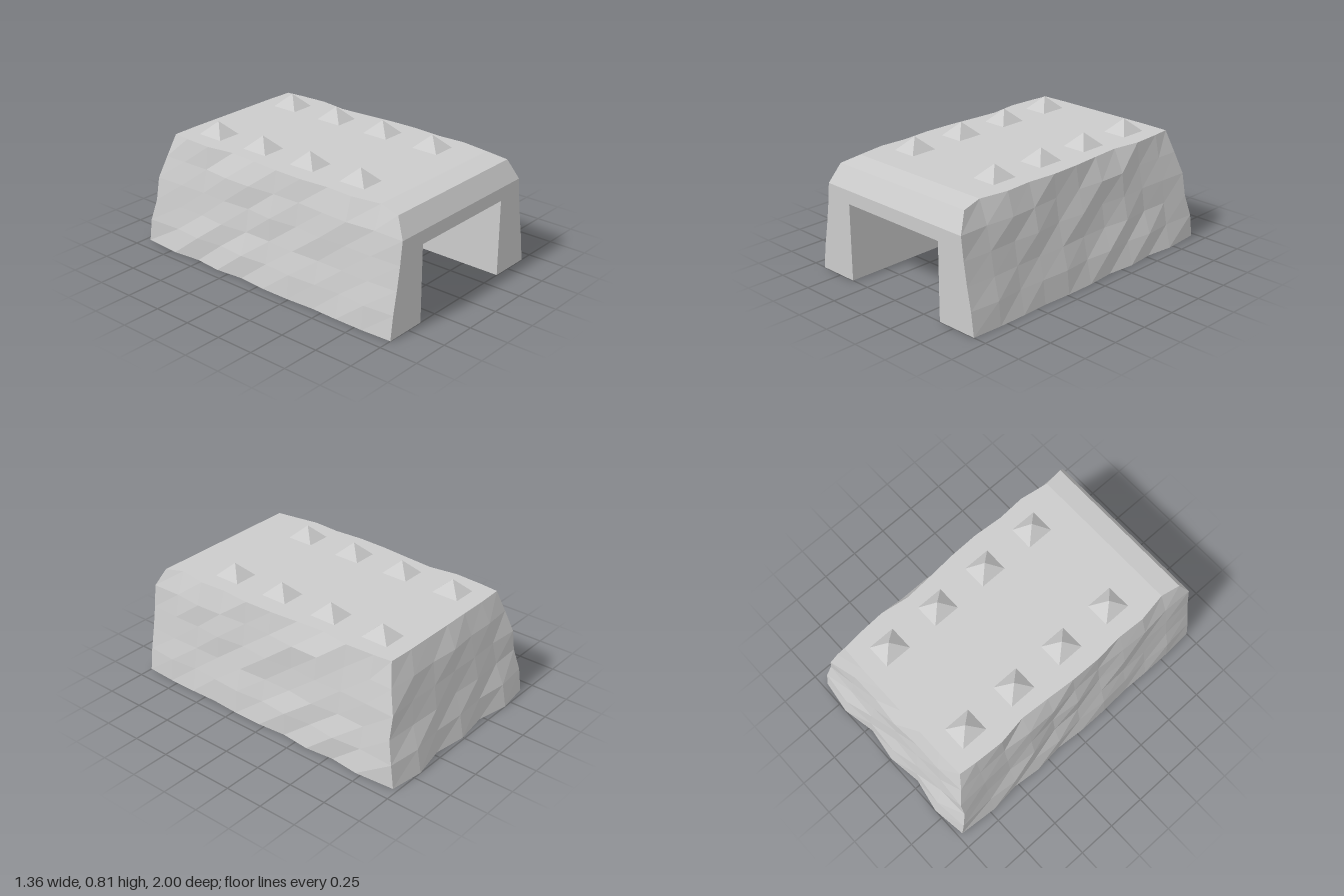
import * as THREE from 'three';

const material = new THREE.MeshStandardMaterial({ color: 0xcccccc, flatShading: true });

// Row heights and grid lines of the rough earth banks
const rowY = [0.005, 0.155, 0.295, 0.44, 0.585, 0.728];
const colZ = [1, 0.8, 0.61, 0.43, 0.235, 0.04, -0.15, -0.34, -0.525, -0.715];
const last = colZ.length;
const sideX = [0.665, 0.65, 0.62, 0.597, 0.572, 0.53];
const frontX = [0.66, 0.64, 0.612, 0.588, 0.57, 0.53];
const footX = [0.66, 0.67, 0.67, 0.665, 0.675, 0.675, 0.66, 0.678, 0.66, 0.68, 0.66];
const eaveX = [0.53, 0.51, 0.54, 0.53, 0.545, 0.54, 0.525, 0.512, 0.54, 0.53, 0.518];
const cornerZ = [-0.97, -0.95, -0.915, -0.915, -0.87, -0.832];
const backZ = [-0.98, -0.965, -0.935, -0.91, -0.885, -0.838];
const backFoot = [-0.97, -1.0, -0.957, -0.988];

// Passage dimensions
const doorX = 0.385, doorY = 0.5, doorZ = 0.21;

// Repeatable bump between -1 and 1
function bump(i, j) {
  const s = Math.sin(i * 12.9898 + j * 78.233) * 43758.5453;
  return (s - Math.floor(s)) * 2 - 1;
}

// Faceted sheet from rows of points; columns run right and rows run up as seen from its front
function sheet(name, rows) {
  const pos = [];
  for (let i = 0; i < rows.length - 1; i++) {
    for (let j = 0; j < rows[i].length - 1; j++) {
      const a = rows[i][j], b = rows[i][j + 1], c = rows[i + 1][j + 1], d = rows[i + 1][j];
      pos.push(...a, ...b, ...c, ...a, ...c, ...d);
    }
  }
  const geo = new THREE.BufferGeometry();
  geo.setAttribute('position', new THREE.Float32BufferAttribute(pos, 3));
  geo.computeVertexNormals();
  return named(name, geo);
}

function named(name, geo) {
  const mesh = new THREE.Mesh(geo, material);
  mesh.name = name;
  return mesh;
}

const mirror = ([x, y, z]) => [-x, y, z];

// Point on the left bank: row i up, column j from front to back
function bankPoint(i, j) {
  const top = i === 5;
  let x = sideX[i] + 0.013 * bump(i, j);
  if (j === 0) x = frontX[i];
  else if (i === 0) x = footX[j];
  else if (top) x = eaveX[j];
  let y = rowY[i];
  let z = j === last ? cornerZ[i] : colZ[j];
  if (j === 0 && top) { y = 0.705; z = 0.935; }
  return [x, y, z];
}

// Point on the back bank: k from 0 at the left corner to 6 at the right corner
function backPoint(i, k) {
  const corner = bankPoint(i, last);
  if (k === 0) return corner;
  if (k === 6) return mirror(corner);
  const m = Math.min(k, 6 - k);
  let z = backZ[i];
  if (i === 0) z = backFoot[m];
  else if (i < 5) z += 0.018 * bump(i + 3, m);
  return [corner[0] * (1 - k / 3), rowY[i], z];
}

const shapeOf = (pts) => new THREE.Shape(pts.map(([x, y]) => new THREE.Vector2(x, y)));

export function createModel() {
  const group = new THREE.Group();
  group.name = 'bunker';

  // Rough banks on both sides and behind
  const bank = rowY.map((_, i) => Array.from({ length: last + 1 }, (_, j) => bankPoint(i, j)));
  const back = rowY.map((_, i) => Array.from({ length: 7 }, (_, k) => backPoint(i, k)));
  group.add(sheet('leftBank', bank));
  group.add(sheet('rightBank', bank.map((row) => row.map(mirror).reverse())));
  group.add(sheet('backBank', back));

  // Roof with its sloping front lip, and a strip joining it to the back bank
  const eave = bank[5];
  group.add(sheet('frontLip', [bank[4][0], eave[0]].map((p) => [mirror(p), p])));
  group.add(sheet('roof', eave.map((p) => [mirror(p), p])));
  const backEave = back[5].slice().reverse();
  const ridge = backEave.map(([x, y]) => [x, y, cornerZ[5]]);
  group.add(sheet('roofBackEdge', [ridge, backEave]));

  // Front wall with the doorway cut out
  const y0 = rowY[0];
  const edge = bank.slice(0, 5).map((row) => row[0]);
  const frontOutline = [
    [doorX, y0], ...edge,
    ...edge.map(mirror).reverse(),
    [-doorX, y0], [-doorX, doorY], [doorX, doorY],
  ];
  const front = named('frontWall', new THREE.ShapeGeometry(shapeOf(frontOutline)));
  front.position.z = 1;
  group.add(front);

  // Underside following the foot of the banks, open below the passage
  const foot = bank[0].map(([x, , z]) => [x, z]);
  const backFootLine = back[0].slice(1, 6).map(([x, , z]) => [x, z]);
  const floorOutline = [
    [doorX, 1], ...foot, ...backFootLine,
    ...foot.map(([x, z]) => [-x, z]).reverse(),
    [-doorX, 1], [-doorX, doorZ], [doorX, doorZ],
  ];
  const underside = named('underside', new THREE.ShapeGeometry(shapeOf(floorOutline)).rotateX(Math.PI / 2));
  underside.position.y = y0;
  group.add(underside);

  // Passage: side walls, ceiling and end wall, all facing inward
  const plane = (name, w, h, x, y, z, rx, ry) => {
    const m = named(name, new THREE.PlaneGeometry(w, h));
    m.position.set(x, y, z);
    m.rotation.set(rx, ry, 0);
    group.add(m);
  };
  const depth = 1 - doorZ, midZ = (1 + doorZ) / 2, midY = (doorY + y0) / 2;
  plane('passageLeftWall', depth, doorY - y0, doorX, midY, midZ, 0, -Math.PI / 2);
  plane('passageRightWall', depth, doorY - y0, -doorX, midY, midZ, 0, Math.PI / 2);
  plane('passageCeiling', doorX * 2, depth, 0, doorY, midZ, Math.PI / 2, 0);
  plane('passageEndWall', doorX * 2, doorY - y0, 0, midY, doorZ, 0, 0);

  // Two rows of pyramid spikes on the roof
  const spike = new THREE.ConeGeometry(Math.SQRT2, 1, 4, 1, true).rotateY(Math.PI / 4);
  for (const x of [-0.34, 0.34]) {
    for (const z of [-0.63, -0.25, 0.13, 0.515]) {
      const m = named('roofSpike', spike);
      m.scale.set(0.085, 0.09, 0.095);
      m.position.set(x, 0.768, z);
      group.add(m);
    }
  }
  return group;
}
